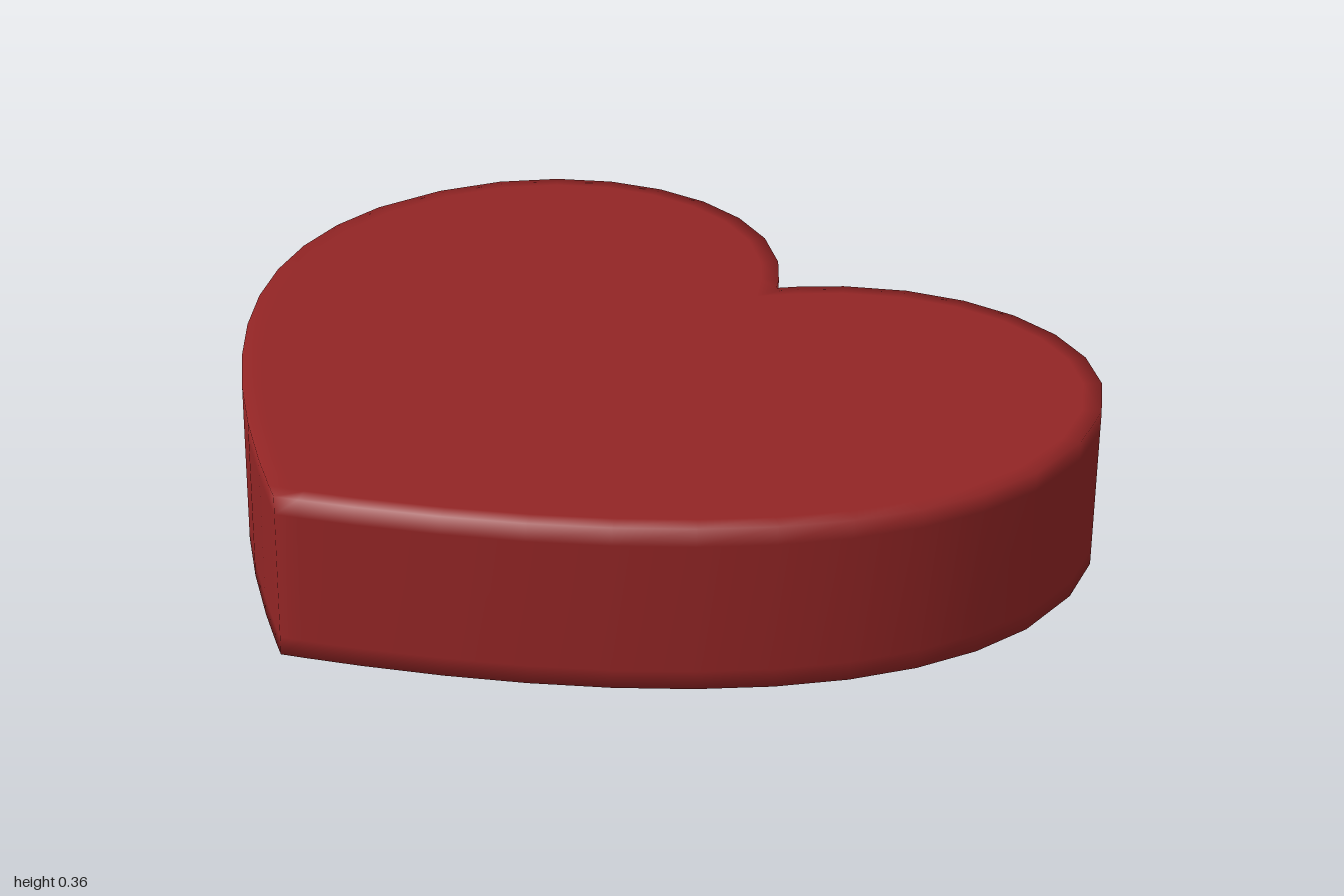
import * as THREE from 'three';

const HEIGHT = 0.36, RIM = 0.04;

// Heart outline in (x, z): notch -> +x lobe -> tip, then mirrored back to the notch
function heartOutline() {
  const v = (x, z) => new THREE.Vector2(x, z);
  const lobe = new THREE.CubicBezierCurve(v(0, -0.61), v(0.3, -1.05), v(0.98, -0.93), v(1, -0.29));
  const flank = new THREE.CubicBezierCurve(v(1, -0.29), v(1, 0.2), v(0.5, 0.6), v(0, 0.87));
  const half = [lobe.getPoint(0), lobe.getPoint(0.03)];
  for (let i = 1; i <= 10; i++) half.push(lobe.getPoint(i / 10));
  for (let i = 1; i < 10; i++) half.push(flank.getPoint(i / 10));
  half.push(flank.getPoint(0.97), flank.getPoint(1));
  const mirrored = half.slice(1, -1).reverse().map(p => v(-p.x, p.y));
  return [...half, ...mirrored];
}

// Moves each outline point inward along its mitred normal
function inset(points, d) {
  const n = points.length;
  const inward = (a, b) => {
    const t = b.clone().sub(a).normalize();
    return new THREE.Vector2(-t.y, t.x);
  };
  return points.map((p, i) => {
    const n1 = inward(points[(i + n - 1) % n], p);
    const n2 = inward(p, points[(i + 1) % n]);
    return p.clone().addScaledVector(n1.clone().add(n2), d / (1 + n1.dot(n2)));
  });
}

function heartGeometry() {
  const outer = heartOutline(), inner = inset(outer, RIM), n = outer.length;
  // Rings from the bottom rim, up the wall, to the top rim
  const rings = [
    [inner, 0], [outer, 0], [outer, RIM],
    [outer, HEIGHT - RIM], [outer, HEIGHT], [inner, HEIGHT],
  ];
  const position = [], index = [];
  for (const [ring, y] of rings) for (const p of ring) position.push(p.x, y, p.y);
  for (let k = 0; k < rings.length - 1; k++) {
    for (let i = 0; i < n; i++) {
      const a = k * n + i, b = k * n + (i + 1) % n;
      index.push(a, a + n, b, b, a + n, b + n);
    }
  }
  // Flat caps inside the rims
  const top = (rings.length - 1) * n;
  for (const [a, b, c] of THREE.ShapeUtils.triangulateShape(inner, [])) {
    const cross = inner[b].clone().sub(inner[a]).cross(inner[c].clone().sub(inner[a]));
    const [p, q] = cross < 0 ? [b, c] : [c, b];
    index.push(top + a, top + p, top + q, a, q, p);
  }
  const geometry = new THREE.BufferGeometry();
  geometry.setAttribute('position', new THREE.Float32BufferAttribute(position, 3));
  geometry.setIndex(index);
  geometry.computeVertexNormals();
  return geometry;
}

export function createModel() {
  const group = new THREE.Group();
  group.name = 'heart';
  const body = new THREE.Mesh(heartGeometry(), new THREE.MeshStandardMaterial({ color: 0x932525 }));
  body.name = 'heartBody';
  group.add(body);
  return group;
}
